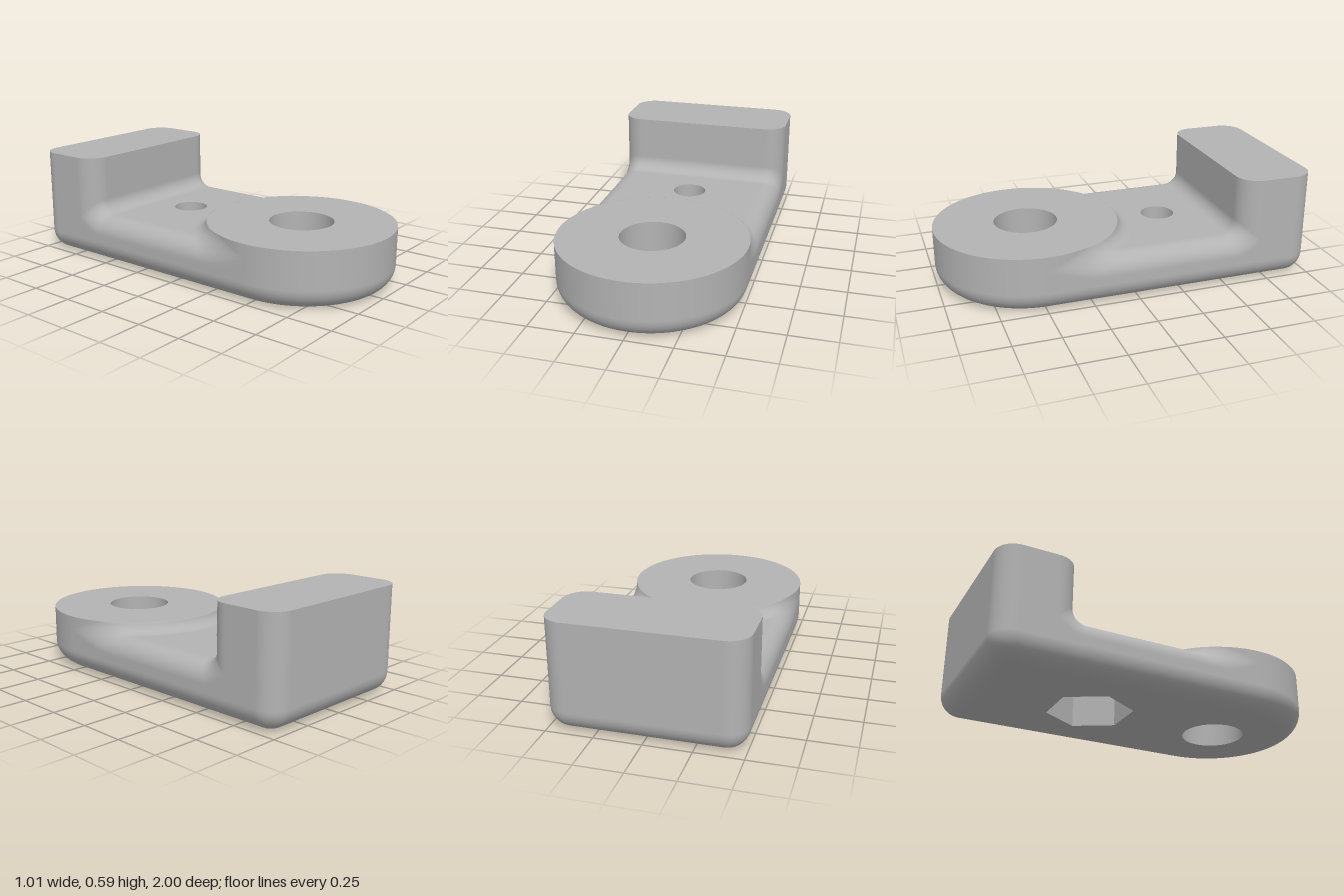
import * as THREE from 'three';
import { mergeGeometries, mergeVertices } from 'three/addons/utils/BufferGeometryUtils.js';

const R = 0.505, DISC_Z = 0.495;            // front boss
const CORNER = 0.115, BLOCK_Z = -0.578;     // rear block
const DISC_Y = 0.32, PLATE_Y = 0.263, BLOCK_Y = 0.587;
const ROUND = 0.1, FILLET = 0.078;          // plate edge rounding, inner fillets
const HOLE_Z = -0.285, HOLE_R = 0.094, BORE_R = 0.174, HEX_R = 0.237, HEX_Y = 0.19;
const HALF = 0.18;                          // flat square around the screw hole

// Outline made of arcs: each point holds position and outward direction
function arc(cx, cz, r, from, to, n) {
  return Array.from({ length: n + 1 }, (_, i) => {
    const a = from + (to - from) * i / n, nx = Math.cos(a), nz = Math.sin(a);
    return { x: cx + r * nx, z: cz + r * nz, nx, nz };
  });
}
const circle = (z, r, n) => arc(0, z, r, 0, Math.PI * 2, n).slice(0, n);
const q = Math.PI / 2, cx = R - CORNER;
const rearCorners = [...arc(-cx, -1 + CORNER, CORNER, 2 * q, 3 * q, 14), ...arc(cx, -1 + CORNER, CORNER, 3 * q, 4 * q, 14)];
const bodyLoop = [...arc(0, DISC_Z, R, 0, Math.PI, 64), ...rearCorners];
const blockLoop = [
  ...arc(cx, BLOCK_Z - CORNER, CORNER, 0, q, 14),
  ...arc(-cx, BLOCK_Z - CORNER, CORNER, q, 2 * q, 14), ...rearCorners];

// Wall through levels of { inset, y, tilt } along a closed loop
function sweep(loop, levels, inward = false) {
  const pos = [], nor = [], idx = [], n = loop.length, s = inward ? -1 : 1;
  levels.forEach(({ inset = 0, y, tilt = 0 }, j) => loop.forEach((p, i) => {
    pos.push(p.x - p.nx * inset, y, p.z - p.nz * inset);
    nor.push(s * p.nx * Math.cos(tilt), -s * Math.sin(tilt), s * p.nz * Math.cos(tilt));
    if (j === levels.length - 1) return;
    const a = j * n + i, b = j * n + (i + 1) % n, c = a + n, d = b + n;
    if (inward) idx.push(a, b, c, b, d, c);
    else idx.push(a, c, b, b, c, d);
  }));
  const g = new THREE.BufferGeometry();
  g.setAttribute('position', new THREE.Float32BufferAttribute(pos, 3));
  g.setAttribute('normal', new THREE.Float32BufferAttribute(nor, 3));
  g.setIndex(idx);
  return g;
}

// Horizontal face with holes, facing up or down
function flat(loop, holes, y, up) {
  const s = up ? -1 : 1;
  const pts = l => l.map(p => new THREE.Vector2(p.x, s * p.z));
  const shape = new THREE.Shape(pts(loop));
  shape.holes = holes.map(h => new THREE.Path(pts(h)));
  return new THREE.ShapeGeometry(shape).rotateX(s * q).translate(0, y, 0);
}

// Height of the plate top: rounded long edges plus fillets to boss and block
function plateHeight(x, z) {
  const d = Math.min(ROUND, Math.max(0, R - Math.abs(x)));
  const base = PLATE_Y - ROUND + Math.sqrt(ROUND ** 2 - (ROUND - d) ** 2);
  const rise = e => {
    const t = FILLET - Math.min(FILLET, Math.max(0, e));
    return FILLET - Math.sqrt(Math.max(0, FILLET ** 2 - t * t));
  };
  const toDisc = Math.hypot(x, z - DISC_Z) - R;
  const bx = Math.max(0, Math.abs(x) - cx), bz = Math.max(0, z - BLOCK_Z + CORNER);
  const toBlock = Math.hypot(bx, bz) - CORNER;
  return Math.max(Math.min(DISC_Y, base + rise(toDisc)), base + rise(toBlock));
}
const discEdge = x => DISC_Z - Math.sqrt(Math.max(0, R * R - x * x));
const blockEdge = x => {
  const b = Math.max(0, Math.abs(x) - cx);
  return BLOCK_Z - CORNER + Math.sqrt(Math.max(0, CORNER ** 2 - b * b));
};

// Grid patch over the unit square
function patch(fn, nu, nv) {
  const pos = [], idx = [];
  for (let i = 0; i <= nu; i++) for (let j = 0; j <= nv; j++) {
    pos.push(...fn(i / nu, j / nv));
    if (i === nu || j === nv) continue;
    const a = i * (nv + 1) + j, b = a + nv + 1;
    idx.push(a, a + 1, b, b, a + 1, b + 1);
  }
  const g = new THREE.BufferGeometry();
  g.setAttribute('position', new THREE.Float32BufferAttribute(pos, 3));
  g.setIndex(idx);
  return g;
}

function plateTop() {
  const ease = t => Math.sin(t * q);
  const xRanges = [
    u => -HALF - (R - HALF) * ease(1 - u),
    u => -HALF + 2 * HALF * u,
    u => HALF + (R - HALF) * ease(u)];
  const z0 = HOLE_Z - HALF, z1 = HOLE_Z + HALF;
  const zRanges = [
    (x, v) => z0 + (blockEdge(x) - z0) * ease(1 - v),
    (x, v) => z0 + (z1 - z0) * v,
    (x, v) => z1 + (discEdge(x) - z1) * ease(v)];
  const parts = [];
  zRanges.forEach((fz, k) => {
    xRanges.forEach((fx, i) => {
      if (i === 1 && k === 1) return;       // the screw hole square
      parts.push(patch((u, v) => {
        const x = fx(u), z = fz(x, v);
        return [x, plateHeight(x, z), z];
      }, 28, 28));
    });
    // straight side walls under the rounded edges
    for (const side of [-1, 1]) parts.push(patch((u, v) => {
      const w = side < 0 ? u : 1 - u, z = fz(R, v);
      return [side * R, CORNER + (plateHeight(R, z) - CORNER) * w, z];
    }, 4, 28));
  });
  const g = mergeVertices(mergeGeometries(parts), 1e-5);
  g.computeVertexNormals();
  return g;
}

export function createModel() {
  const group = new THREE.Group();
  const grey = new THREE.MeshStandardMaterial({ color: 0xb3b3b3, side: THREE.DoubleSide });
  grey.name = 'grey';
  const add = (name, geometry) => {
    const mesh = new THREE.Mesh(geometry, grey);
    mesh.name = name;
    group.add(mesh);
  };

  const bore = circle(DISC_Z, BORE_R, 64), screw = circle(HOLE_Z, HOLE_R, 48);
  const hex = circle(HOLE_Z, HEX_R, 6);

  // Rounded underside
  const levels = Array.from({ length: 13 }, (_, i) => {
    const tilt = q * (1 - i / 12);
    return { inset: CORNER * (1 - Math.cos(tilt)), y: CORNER * (1 - Math.sin(tilt)), tilt };
  });
  add('bottomRounding', sweep(bodyLoop, levels));
  const inner = bodyLoop.map(p => ({ x: p.x - p.nx * CORNER, z: p.z - p.nz * CORNER }))
    .filter((p, i, l) => i === 0 || Math.hypot(p.x - l[i - 1].x, p.z - l[i - 1].z) > 1e-6);
  add('bottomFace', flat(inner, [bore, hex], 0, false));

  // Front boss
  const disc = circle(DISC_Z, R, 128);
  add('bossWall', sweep(disc, [{ y: CORNER }, { y: DISC_Y }]));
  add('bossTop', flat(disc, [bore], DISC_Y, true));
  add('bossBore', sweep(bore, [{ y: 0 }, { y: DISC_Y }], true));

  // Rear block
  add('blockWall', sweep(blockLoop, [{ y: CORNER }, { y: BLOCK_Y }]));
  add('blockTop', flat(blockLoop, [], BLOCK_Y, true));

  // Plate between boss and block
  add('plate', plateTop());
  const square = [[-1, -1], [1, -1], [1, 1], [-1, 1]].map(([x, z]) => ({ x: x * HALF, z: HOLE_Z + z * HALF }));
  add('plateCentre', flat(square, [screw], PLATE_Y, true));

  // Screw hole and hexagonal nut pocket underneath
  add('screwHole', sweep(screw, [{ y: HEX_Y }, { y: PLATE_Y }], true));
  const pocket = sweep(hex, [{ y: 0 }, { y: HEX_Y }], true).toNonIndexed();
  pocket.computeVertexNormals();
  add('nutPocket', pocket);
  add('nutPocketCeiling', flat(hex, [screw], HEX_Y, false));
  return group;
}
